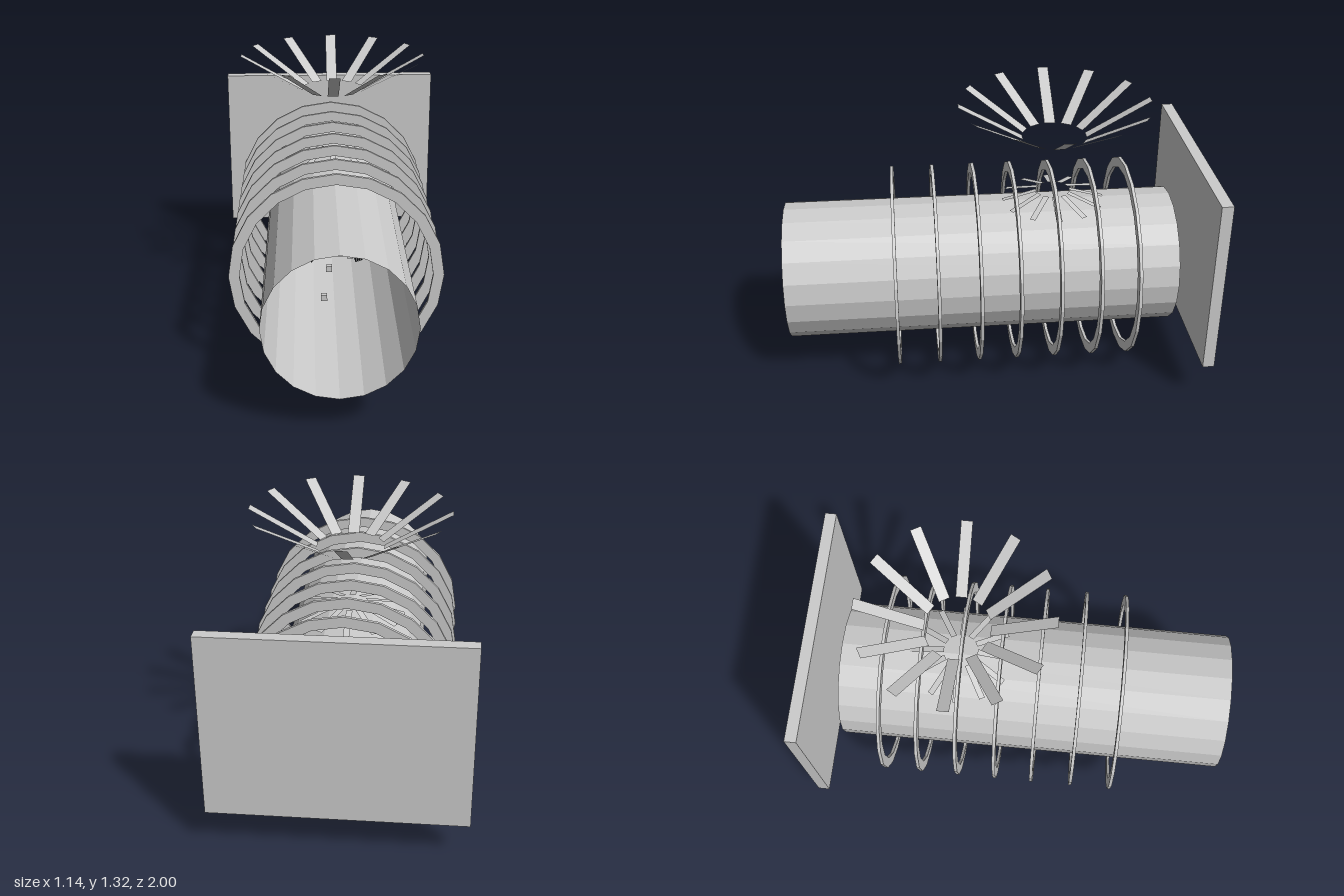
import * as THREE from 'three';

const grey = new THREE.MeshStandardMaterial({ color: 0xcccccc, flatShading: true, side: THREE.DoubleSide });
const dark = new THREE.MeshStandardMaterial({ color: 0x22262a });
const teal = new THREE.MeshStandardMaterial({ color: 0x2a9d9d });

function add(parent, name, geometry, material, x = 0, y = 0, z = 0) {
  const mesh = new THREE.Mesh(geometry, material);
  mesh.name = name;
  mesh.position.set(x, y, z);
  parent.add(mesh);
  return mesh;
}
const box = (w, h, d) => new THREE.BoxGeometry(w, h, d);

// Flat blades fanned around a vertical axis, running from (r0, y0) to (r1, y1)
function bladeFan(name, r0, y0, r1, y1, width) {
  const fan = new THREE.Group();
  fan.name = name;
  fan.position.z = -0.29;
  for (let i = 0; i < 12; i++) {
    const g = new THREE.PlaneGeometry(width, Math.hypot(r1 - r0, y1 - y0));
    g.rotateX(-Math.PI / 2 - Math.atan2(y1 - y0, r1 - r0));
    g.translate(0, (y0 + y1) / 2, (r0 + r1) / 2);
    g.rotateY((i * Math.PI) / 6);
    add(fan, 'blade', g, grey);
  }
  return fan;
}

// Hand with forearm block, palm, fingers and thumb; side is +1 or -1
function hand(side) {
  const g = new THREE.Group();
  g.name = side > 0 ? 'leftHand' : 'rightHand';
  g.position.set(side * 0.108, 0.4, 0);
  g.rotation.z = side * 0.3;
  add(g, 'wrist', box(0.028, 0.04, 0.028), grey, -side * 0.012, 0.058, 0);
  add(g, 'palm', box(0.036, 0.055, 0.018), dark, 0, 0, 0);
  for (let i = 0; i < 4; i++) {
    const x = (i - 1.5) * 0.01;
    add(g, 'finger', new THREE.CapsuleGeometry(0.004, 0.03, 3, 8), dark, x, -0.045, 0);
    add(g, 'knuckle', new THREE.SphereGeometry(0.0045, 8, 6), teal, x, -0.028, 0.003);
  }
  const thumb = add(g, 'thumb', new THREE.CapsuleGeometry(0.005, 0.025, 3, 8), dark, -side * 0.022, -0.012, 0.004);
  thumb.rotation.z = -side * 0.5;
  return g;
}

export function createModel() {
  const model = new THREE.Group();
  model.name = 'tunnelScene';

  // Open tunnel
  const tube = new THREE.CylinderGeometry(0.33, 0.33, 1.865, 20, 1, true);
  tube.rotateX(Math.PI / 2);
  add(model, 'tunnel', tube, grey, 0, 0.495, 0.0675);

  // Flat twenty-sided hoops around the tunnel
  const outline = (r) => Array.from({ length: 20 }, (_, i) => {
    const a = (i * Math.PI) / 10;
    return new THREE.Vector2(r * Math.cos(a), r * Math.sin(a));
  });
  const hoopShape = new THREE.Shape(outline(0.49));
  hoopShape.holes.push(new THREE.Path(outline(0.44)));
  const hoop = new THREE.ExtrudeGeometry(hoopShape, { depth: 0.015, bevelEnabled: false });
  hoop.translate(0, 0, -0.0075);
  for (const z of [0.48, 0.285, 0.09, -0.093, -0.28, -0.465, -0.643]) {
    add(model, 'hoop', hoop, grey, 0, 0.4925, z);
  }

  // Rear panel
  add(model, 'rearPanel', box(1.14, 0.86, 0.055), grey, 0, 0.62, -0.9725);

  // Large upper fan and small lower fan of blades
  model.add(bladeFan('upperFan', 0.15, 1.155, 0.45, 1.325, 0.053));
  model.add(bladeFan('lowerFan', 0.08, 0.873, 0.245, 0.828, 0.028));

  // Crossbar and loose blocks inside the tunnel
  add(model, 'crossbar', box(0.4, 0.03, 0.03), grey, 0, 0.406, -0.05);
  const blocks = [[-0.058, 0.42, 0.555], [-0.028, 0.396, 0.2], [0.032, 0.432, 0.1],
    [0.077, 0.41, 0.08], [0.135, 0.411, 0.06], [0.185, 0.4, 0.04]];
  for (const [x, y, z] of blocks) add(model, 'block', box(0.028, 0.028, 0.028), grey, x, y, z);

  // Round-headed figure
  const figure = new THREE.Group();
  figure.name = 'figure';
  model.add(figure);
  add(figure, 'head', new THREE.SphereGeometry(0.056, 24, 16), dark, 0, 0.492, 0);
  add(figure, 'topKnob', new THREE.SphereGeometry(0.018, 16, 12), dark, 0, 0.557, 0);
  add(figure, 'faceRing', new THREE.TorusGeometry(0.022, 0.003, 8, 24), teal, 0, 0.495, 0.052);
  add(figure, 'facePlate', box(0.024, 0.036, 0.02), grey, 0, 0.5, 0.055);
  add(figure, 'chinPlate', box(0.028, 0.03, 0.02), grey, 0, 0.446, 0.04);
  for (const side of [-1, 1]) {
    const pad = add(figure, 'sidePad', box(0.022, 0.016, 0.022), dark, side * 0.081, 0.5, 0);
    pad.rotation.z = side * 0.2;
    figure.add(hand(side));
  }
  return model;
}
